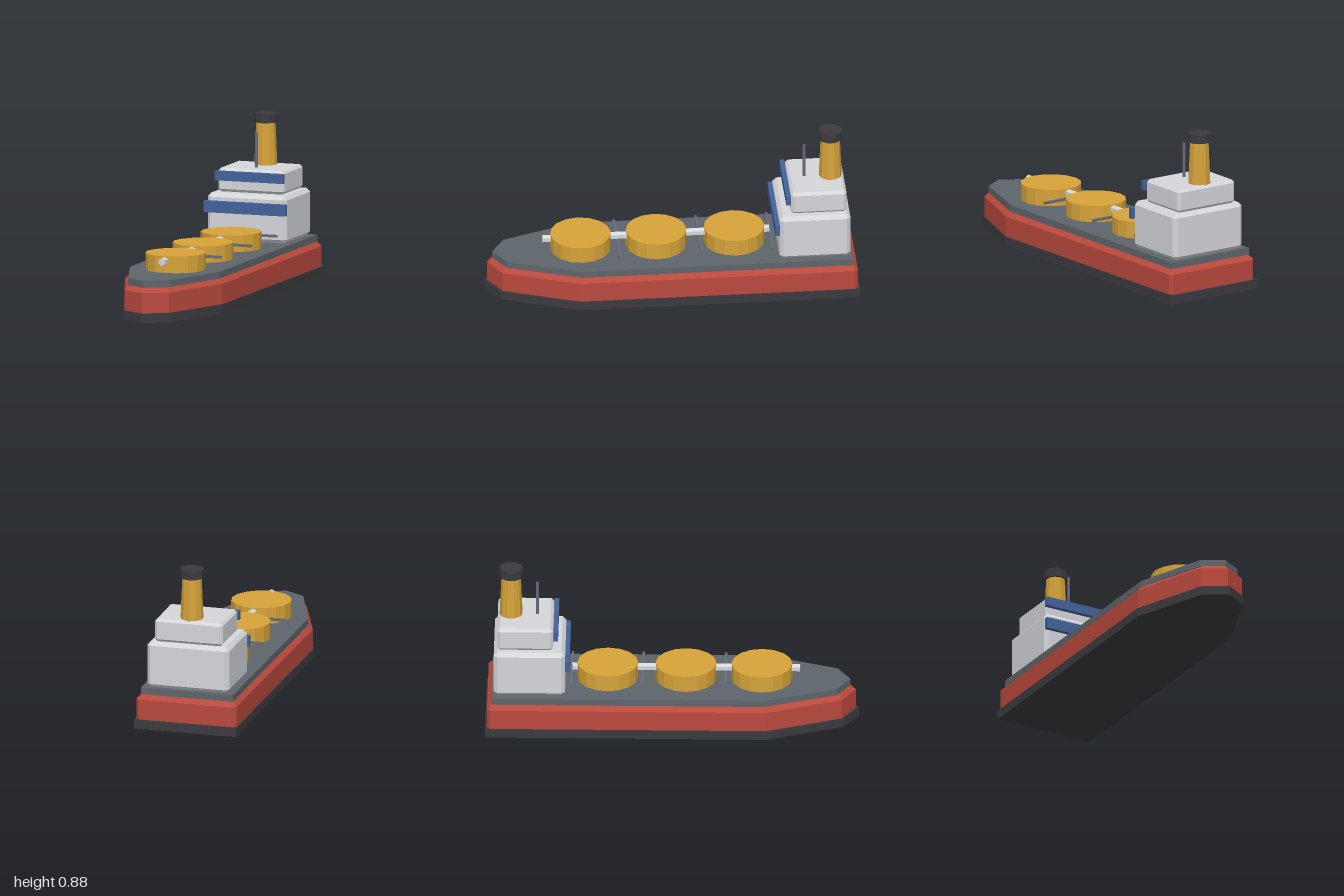
import * as THREE from 'three';
import { ConvexGeometry } from 'three/addons/geometries/ConvexGeometry.js';

const paint = (name, color) => {
  const m = new THREE.MeshStandardMaterial({ color });
  m.name = name;
  m.flatShading = true;
  return m;
};

export function createModel() {
  const black = paint('black', 0x3b3a3f);
  const red = paint('hull red', 0xba493d);
  const deckGrey = paint('deck grey', 0x5e656b);
  const white = paint('pale grey', 0xd5d6da);
  const blue = paint('window blue', 0x43629a);
  const gold = paint('tank gold', 0xd6a339);
  const steel = paint('steel', 0x6a6b7a);

  const ship = new THREE.Group();
  ship.name = 'tankerShip';

  const add = (name, geometry, material, x, y, z) => {
    const mesh = new THREE.Mesh(geometry, material);
    mesh.name = name;
    mesh.position.set(x, y, z);
    ship.add(mesh);
    return mesh;
  };

  // Box given by its limits, centred on x = 0
  const box = (name, mat, halfW, y0, y1, z0, z1) =>
    add(name, new THREE.BoxGeometry(halfW * 2, y1 - y0, z1 - z0), mat, 0, (y0 + y1) / 2, (z0 + z1) / 2);

  // Upright cylinder standing on y0
  const post = (name, mat, rTop, rBottom, y0, y1, z, sides) =>
    add(name, new THREE.CylinderGeometry(rTop, rBottom, y1 - y0, sides), mat, 0, (y0 + y1) / 2, z);

  // Horizontal hull layer from a half outline of [x, z], stern to bow, mirrored in x
  const layer = (name, mat, half, y0, y1, bevel = 0) => {
    const mirrored = half.filter(([x]) => x > 0).reverse().map(([x, z]) => [-x, z]);
    const shape = new THREE.Shape([...half, ...mirrored].map(([x, z]) => new THREE.Vector2(x, -z)));
    const geometry = new THREE.ExtrudeGeometry(shape, {
      depth: y1 - y0 - 2 * bevel,
      bevelEnabled: bevel > 0,
      bevelThickness: bevel, bevelSize: bevel, bevelOffset: -bevel, bevelSegments: 1,
    });
    geometry.rotateX(-Math.PI / 2);
    add(name, geometry, mat, 0, y0 + bevel, 0);
  };

  // Box with every edge and corner chamfered
  const chamferBox = (name, mat, halfW, y0, y1, z0, z1, c) => {
    const a = halfW, b = (y1 - y0) / 2, d = (z1 - z0) / 2, points = [];
    for (const i of [-1, 1]) for (const j of [-1, 1]) for (const k of [-1, 1]) {
      points.push(
        new THREE.Vector3(i * a, j * (b - c), k * (d - c)),
        new THREE.Vector3(i * (a - c), j * b, k * (d - c)),
        new THREE.Vector3(i * (a - c), j * (b - c), k * d));
    }
    add(name, new ConvexGeometry(points), mat, 0, (y0 + y1) / 2, (z0 + z1) / 2);
  };

  // Hull layers
  layer('keelPlate', black, [[0.285, -1], [0.285, 0.51], [0.13, 0.92], [0, 1]], 0, 0.05);
  layer('hull', red, [[0.262, -0.99], [0.28, -0.972], [0.28, 0.505], [0.128, 0.91], [0, 0.983]], 0.025, 0.185, 0.025);
  layer('deck', deckGrey, [[0.257, -0.965], [0.257, 0.495], [0.117, 0.885], [0, 0.955]], 0.185, 0.222);

  // Cargo tanks, the pipe through them and the cross rails
  for (const z of [0.48, 0.073, -0.347]) post('cargoTank', gold, 0.163, 0.163, 0.222, 0.312, z, 16);
  const pipe = new THREE.CylinderGeometry(0.022, 0.022, 1.22, 6).rotateX(Math.PI / 2);
  add('deckPipe', pipe, white, 0, 0.287, 0.075);
  for (const z of [0.285, -0.157, -0.537]) box('crossRail', steel, 0.19, 0.261, 0.275, z - 0.006, z + 0.006);

  // Deckhouse with its window bands
  chamferBox('lowerHouse', white, 0.228, 0.222, 0.477, -0.955, -0.572, 0.02);
  chamferBox('upperHouse', white, 0.19, 0.477, 0.605, -0.937, -0.637, 0.015);
  box('lowerWindowBand', blue, 0.235, 0.375, 0.437, -0.573, -0.548);
  box('upperWindowBand', blue, 0.197, 0.541, 0.592, -0.635, -0.61);

  // Funnel and mast
  post('funnel', gold, 0.052, 0.062, 0.6, 0.835, -0.865, 10);
  post('funnelCap', black, 0.064, 0.064, 0.834, 0.883, -0.865, 10);
  post('mast', steel, 0.008, 0.008, 0.6, 0.795, -0.725, 6);

  return ship;
}
